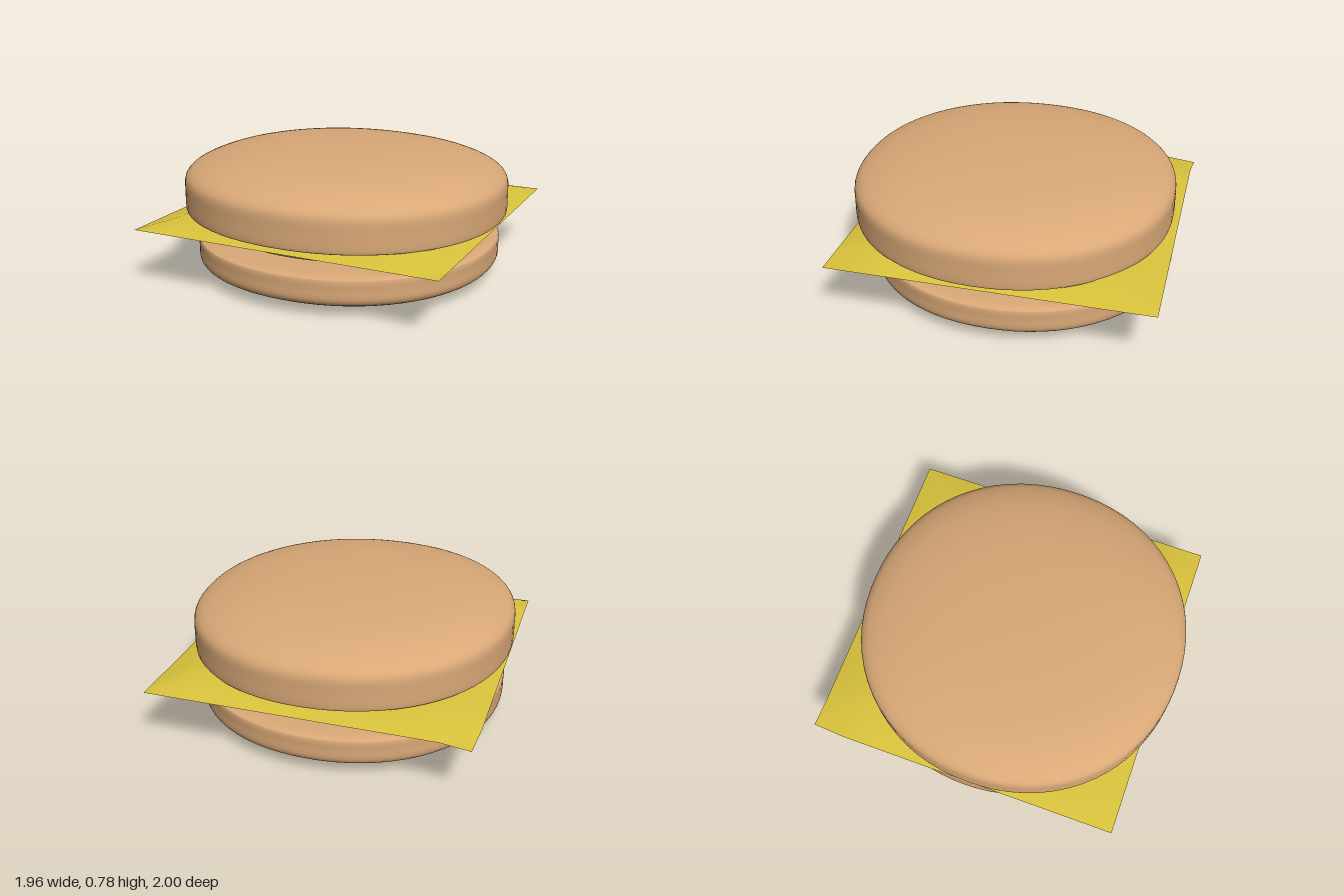
import * as THREE from 'three';
import { mergeVertices } from 'three/addons/utils/BufferGeometryUtils.js';

const bunMaterial = new THREE.MeshStandardMaterial({ color: 0xd9a877 });
const pattyMaterial = new THREE.MeshStandardMaterial({ color: 0xcccccc });
const cheeseMaterial = new THREE.MeshStandardMaterial({ color: 0xd9c23c, side: THREE.DoubleSide });

// Smooth round layer: a [radius, height] profile turned about y, with a
// slightly squarish outline and an optional tilt of the whole layer.
function roundLayer(name, profile, material, x, z, tiltX = 0, tiltZ = 0, power = 2.1) {
  const curve = new THREE.SplineCurve(profile.map(([r, y]) => new THREE.Vector2(r, y)));
  const points = curve.getPoints(48);
  points.forEach((p) => { p.x = Math.max(0, p.x); });
  let geometry = new THREE.LatheGeometry(points, 72);
  const pos = geometry.attributes.position;
  for (let i = 0; i < pos.count; i++) {
    const px = pos.getX(i), pz = pos.getZ(i);
    const r = Math.hypot(px, pz);
    if (r < 1e-6) continue;
    const c = Math.abs(px / r), s = Math.abs(pz / r);
    const k = (c ** power + s ** power) ** (-1 / power);
    pos.setXYZ(i, px * k, pos.getY(i) + tiltX * px + tiltZ * pz, pz * k);
  }
  geometry.deleteAttribute('uv');
  geometry.deleteAttribute('normal');
  geometry = mergeVertices(geometry, 1e-5);
  geometry.computeVertexNormals();
  const mesh = new THREE.Mesh(geometry, material);
  mesh.name = name;
  mesh.position.set(x, 0, z);
  return mesh;
}

// Thin square slice whose outer row of squares droops
function cheeseSlice() {
  const n = 10;
  const geometry = new THREE.PlaneGeometry(1.9, 1.9, n, n).rotateX(-Math.PI / 2);
  const pos = geometry.attributes.position;
  for (let i = 0; i < pos.count; i++) {
    const col = i % (n + 1), row = Math.floor(i / (n + 1));
    const edge = col === 0 || row === 0 || col === n || row === n;
    pos.setY(i, edge ? 0.36 : 0.413);
  }
  // One back corner is pulled out and down
  pos.setXYZ(0, pos.getX(0) + 0.015, 0.345, pos.getZ(0) - 0.01);
  geometry.computeVertexNormals();
  const mesh = new THREE.Mesh(geometry, cheeseMaterial);
  mesh.name = 'cheeseSlice';
  mesh.position.set(-0.01, 0, -0.04);
  return mesh;
}

export function createModel() {
  const group = new THREE.Group();
  group.name = 'cheeseburger';

  group.add(roundLayer('bottomBun', [
    [0, 0.004], [0.4, 0.01], [0.68, 0.024], [0.82, 0.045], [0.9, 0.075], [0.928, 0.11],
    [0.93, 0.17], [0.93, 0.222], [0.915, 0.238], [0.85, 0.247], [0.6, 0.253], [0, 0.256],
  ], bunMaterial, -0.013, -0.037));

  group.add(roundLayer('patty', [
    [0, 0.245], [0.4, 0.248], [0.65, 0.257], [0.77, 0.28], [0.825, 0.312], [0.838, 0.34],
    [0.815, 0.365], [0.74, 0.385], [0.5, 0.395], [0, 0.4],
  ], pattyMaterial, -0.013, -0.037));

  group.add(cheeseSlice());

  group.add(roundLayer('topBun', [
    [0, 0.386], [0.5, 0.391], [0.8, 0.4], [0.92, 0.407], [0.965, 0.415], [0.977, 0.435],
    [0.977, 0.52], [0.975, 0.6], [0.95, 0.643], [0.9, 0.675], [0.8, 0.712], [0.65, 0.744],
    [0.45, 0.767], [0.2, 0.779], [0, 0.781],
  ], bunMaterial, 0, 0.02, -0.014, 0.006));

  return group;
}
